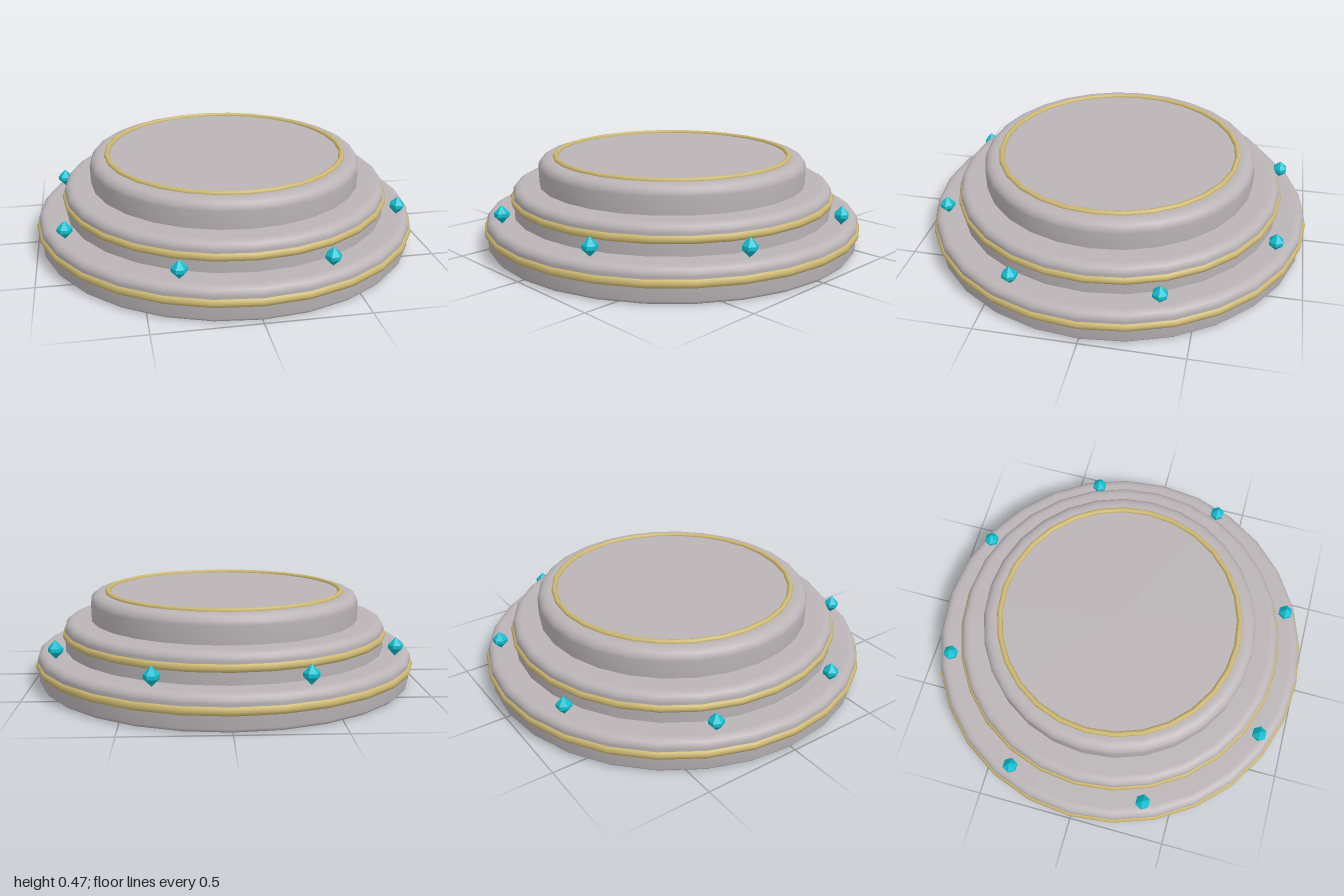
import * as THREE from 'three';

const SIDES = 28;

export function createModel() {
  const stone = new THREE.MeshStandardMaterial({ color: 0xbab4b6 });
  stone.name = 'stone';
  const gold = new THREE.MeshStandardMaterial({ color: 0xcdb871 });
  gold.name = 'gold';
  const crystal = new THREE.MeshStandardMaterial({ color: 0x0fbfd0, flatShading: true });
  crystal.name = 'crystal';

  const model = new THREE.Group();
  model.name = 'steppedPedestal';

  const add = (name, geometry, material, parent = model) => {
    const mesh = new THREE.Mesh(geometry, material);
    mesh.name = name;
    parent.add(mesh);
    return mesh;
  };
  const lathe = (points, sides) =>
    new THREE.LatheGeometry(points.map(([x, y]) => new THREE.Vector2(x, y)), sides);

  // Round steps: flat base, nearly upright wall, softly rounded shoulder, flat top
  const tier = (name, y0, y1, radius, round, foot) => {
    const points = [[0, y0], [radius - foot - 0.01, y0], [radius - foot, y0 + 0.002], [radius - foot * 0.3, y0 + foot]];
    for (let i = 0; i <= 4; i++) {
      const a = (i / 4) * Math.PI / 2;
      points.push([radius - round + round * Math.cos(a), y1 - round * (1 - Math.sin(a))]);
    }
    points.push([radius - round - 0.01, y1], [0, y1]);
    add(name, lathe(points, SIDES), stone);
  };
  tier('lowerStep', 0, 0.172, 0.988, 0.04, 0.018);
  tier('middleStep', 0.165, 0.32, 0.845, 0.04, 0.005);
  tier('upperStep', 0.31, 0.46, 0.708, 0.05, 0.006);

  // Gold trim rings
  const ring = (name, radius, tube, y) => {
    const geometry = new THREE.TorusGeometry(radius, tube, 8, SIDES);
    geometry.rotateX(-Math.PI / 2);
    add(name, geometry, gold).position.y = y;
  };
  ring('lowerTrim', 0.975, 0.025, 0.1);
  ring('middleTrim', 0.835, 0.023, 0.25);
  ring('topTrim', 0.618, 0.014, 0.461);

  // Eight crystals hovering over the lower step
  const gemShape = lathe([[0, -0.048], [0.038, -0.009], [0.038, 0.009], [0, 0.048]], 6);
  gemShape.rotateY(Math.PI / 6);
  const gems = new THREE.Group();
  gems.name = 'crystals';
  model.add(gems);
  for (let i = 0; i < 8; i++) {
    const a = (i + 0.5) * Math.PI / 4;
    add('crystal', gemShape, crystal, gems).position.set(0.917 * Math.cos(a), 0.221, 0.917 * Math.sin(a));
  }
  return model;
}
